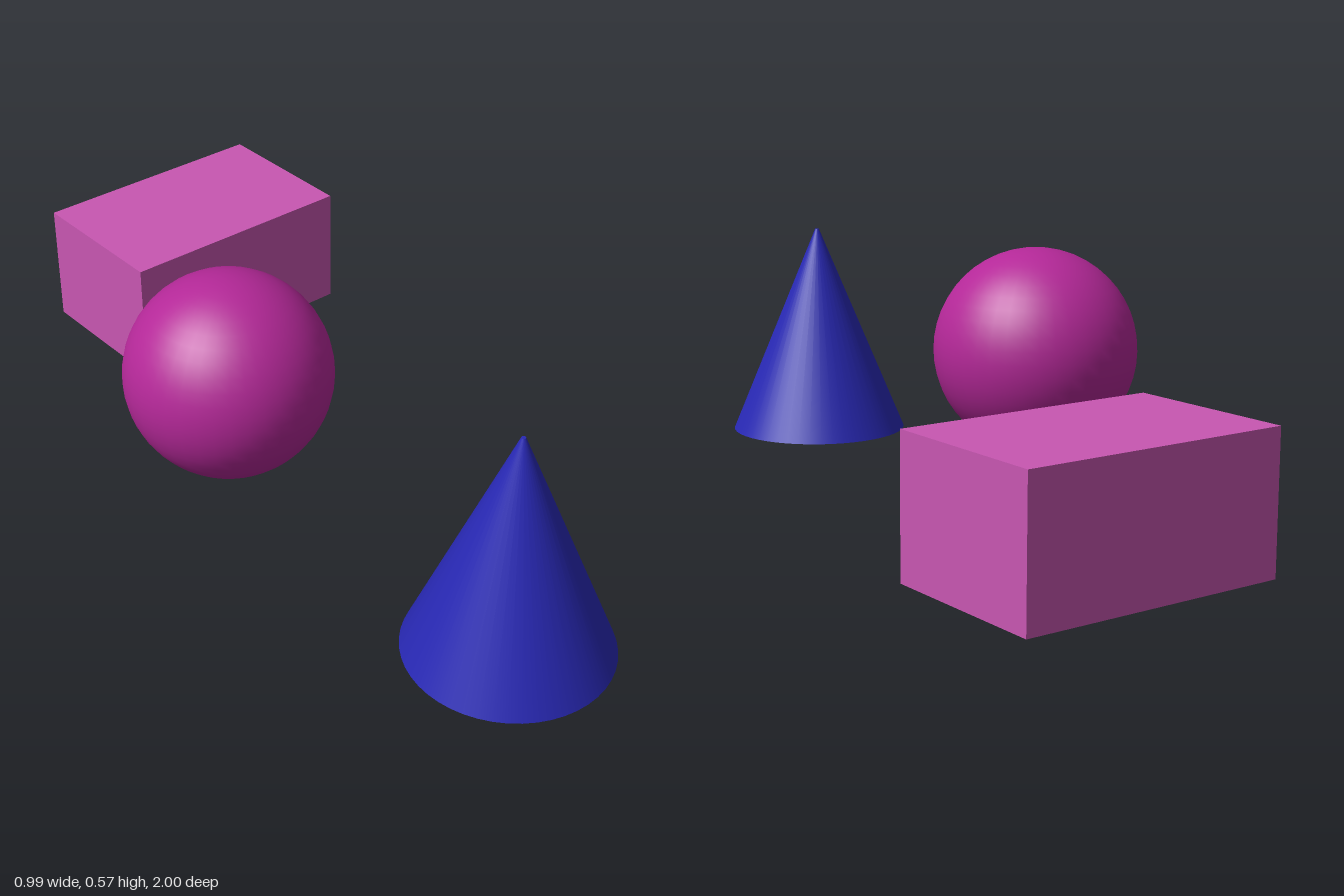
import * as THREE from 'three';

// Adds one named, coloured solid at a position
function addSolid(group, name, geometry, color, x, y, z) {
  const mesh = new THREE.Mesh(geometry, new THREE.MeshStandardMaterial({ color }));
  mesh.name = name;
  mesh.position.set(x, y, z);
  group.add(mesh);
}

export function createModel() {
  const model = new THREE.Group();
  model.name = 'primitiveSolids';

  // Cone at the front, with a tiny blunt tip
  const coneHeight = 0.556;
  addSolid(model, 'cone', new THREE.CylinderGeometry(0.005, 0.237, coneHeight, 48),
    0x2828b4, -0.137, coneHeight / 2, 0.763);

  // Ball floating in the middle
  addSolid(model, 'ball', new THREE.SphereGeometry(0.248, 40, 24),
    0xb42898, -0.249, 0.327, -0.071);

  // Block at the back
  const blockHeight = 0.316;
  addSolid(model, 'block', new THREE.BoxGeometry(0.634, blockHeight, 0.408),
    0xc857b2, 0.18, blockHeight / 2, -0.796);

  return model;
}
